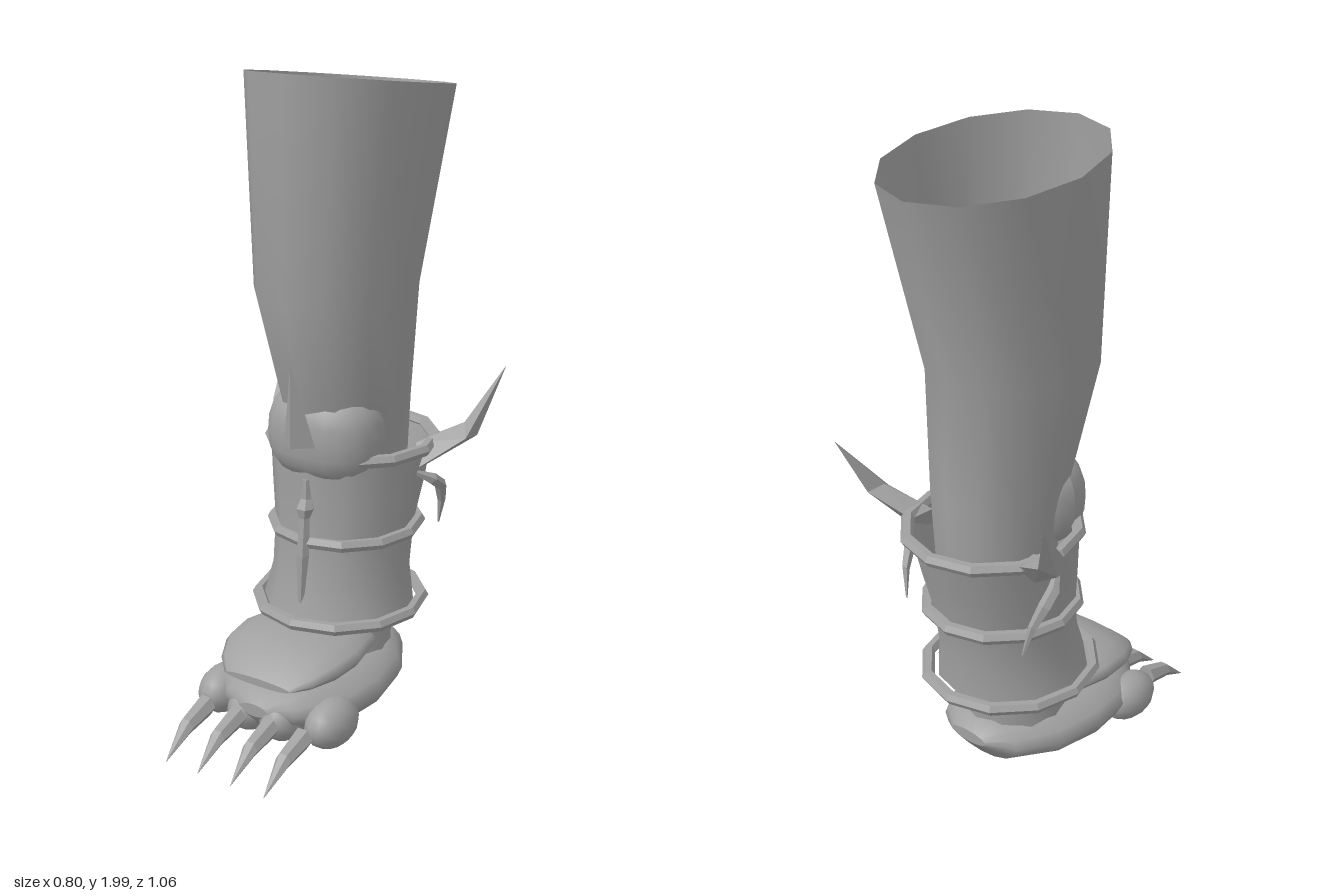
import * as THREE from 'three';

const stone = new THREE.MeshStandardMaterial({ color: 0xa0a0a0, side: THREE.DoubleSide });
stone.name = 'stone grey';

// Skin over elliptical cross-sections [centre, u, v]; u x v points along the path
function loft(sections, sides, { capStart = false, capEnd = false, flat = false } = {}) {
  const pos = [], index = [];
  for (const [c, u, v] of sections) {
    for (let j = 0; j < sides; j++) {
      const a = (j / sides) * Math.PI * 2;
      for (let k = 0; k < 3; k++) pos.push(c[k] + u[k] * Math.cos(a) + v[k] * Math.sin(a));
    }
  }
  for (let i = 0; i < sections.length - 1; i++) {
    for (let j = 0; j < sides; j++) {
      const n = (j + 1) % sides;
      const a = i * sides + j, b = i * sides + n, c = a + sides, d = b + sides;
      index.push(a, b, c, b, d, c);
    }
  }
  const cap = (i, reverse) => {
    const start = pos.length / 3;
    for (let j = 0; j < sides; j++) pos.push(...pos.slice((i * sides + j) * 3, (i * sides + j) * 3 + 3));
    for (let j = 1; j < sides - 1; j++) {
      index.push(start, start + (reverse ? j + 1 : j), start + (reverse ? j : j + 1));
    }
  };
  if (capStart) cap(0, true);
  if (capEnd) cap(sections.length - 1, false);
  let g = new THREE.BufferGeometry();
  g.setAttribute('position', new THREE.Float32BufferAttribute(pos, 3));
  g.setIndex(index);
  if (flat) g = g.toNonIndexed();
  g.computeVertexNormals();
  return g;
}

// Horizontal section from its front and back edges, optionally tilted
const level = (y, rx, front, back, tilt = 0) =>
  [[0, y, (front + back) / 2], [rx, 0, 0], [0, tilt, (front - back) / 2]];
// Upright section across the foot
const across = (z, y, rx, ry, x = 0) => [[x, y, z], [rx, 0, 0], [0, ry, 0]];

export function createModel() {
  const model = new THREE.Group();
  model.name = 'clawedLeg';
  const add = (name, geometry, parent = model) => {
    const mesh = new THREE.Mesh(geometry, stone);
    mesh.name = name;
    parent.add(mesh);
    return mesh;
  };

  // Open upper leg, closed at its lower end inside the cuff
  add('upperLeg', loft([
    level(1.96, 0.295, 0.16, -0.53, 0.04),
    level(1.36, 0.235, 0.16, -0.395, -0.01),
    level(1.0, 0.185, 0.06, -0.41),
    level(0.78, 0.17, 0.0, -0.4),
  ], 12, { capEnd: true }));
  add('ankle', loft([
    level(0.78, 0.165, 0, -0.36),
    level(0.35, 0.17, 0.05, -0.315),
    level(0.18, 0.17, 0.05, -0.305),
  ], 12));

  // Flared cuff and its three bands
  add('cuff', loft([
    level(0.86, 0.25, 0.05, -0.465),
    level(0.72, 0.235, 0.05, -0.43),
    level(0.59, 0.215, 0.055, -0.395),
    level(0.45, 0.213, 0.07, -0.375),
    level(0.33, 0.238, 0.105, -0.375),
  ], 12));
  for (const [y, rx, front, back] of [
    [0.855, 0.275, 0.065, -0.5],
    [0.59, 0.247, 0.075, -0.435],
    [0.342, 0.278, 0.14, -0.435],
  ]) {
    let band = new THREE.TorusGeometry(rx - 0.02, 0.02, 6, 12);
    band.rotateX(Math.PI / 2);
    band.scale(1, 1, (front - back) / 2 / rx);
    band = band.toNonIndexed();
    band.computeVertexNormals();
    add('cuffBand', band).position.set(0, y, (front + back) / 2);
  }

  // Rounded, slightly boxy knee guard
  const guard = new THREE.SphereGeometry(1, 20, 14);
  const p = guard.attributes.position;
  const boxy = (n) => Math.sign(n) * Math.abs(n) ** 0.78;
  for (let i = 0; i < p.count; i++) p.setXY(i, boxy(p.getX(i)), boxy(p.getY(i)));
  guard.scale(0.188, 0.157, 0.14);
  guard.computeVertexNormals();
  add('kneeGuard', guard).position.set(0, 0.913, -0.065);

  // Four-sided knee spike with an upright front edge
  add('kneeSpike', loft([
    [[0, 0.91, 0.08], [0.055, 0, 0], [0, 0, -0.05]],
    [[0, 1.165, 0.129], [0.001, 0, 0], [0, 0, -0.001]],
  ], 4, { capStart: true, flat: true }));

  // Hanging pendant on the shin
  add('shinPendant', loft([
    [0.79, 0.045, 0.012], [0.73, 0.045, 0.018], [0.7, 0.05, 0.03], [0.67, 0.055, 0.018],
    [0.55, 0.065, 0.022], [0.37, 0.078, 0.008],
  ].map(([y, z, r]) => [[0, y, z], [r, 0, 0], [0, 0, r]]), 6,
  { capStart: true, capEnd: true, flat: true }));

  // Side horns with curled tails beneath
  for (const side of [1, -1]) {
    const group = new THREE.Group();
    group.name = side > 0 ? 'leftHorn' : 'rightHorn';
    group.scale.x = side;
    model.add(group);
    add('horn', loft([
      [[0.215, 0.82, -0.28], [0.01, -0.035, 0.07], [-0.015, 0.035, 0.015]],
      [[0.345, 0.905, -0.345], [0.012, -0.015, 0.055], [-0.018, 0.02, 0.008]],
      [[0.4, 1.085, -0.455], [0, 0, 0.001], [-0.001, 0, 0]],
    ], 4, { capStart: true, flat: true }), group);
    add('hornTail', loft([
      [[0.235, 0.785, -0.2], 0.008], [[0.265, 0.755, -0.25], 0.02],
      [[0.27, 0.72, -0.3], 0.02], [[0.255, 0.66, -0.335], 0.014], [[0.235, 0.57, -0.355], 0.003],
    ].map(([c, r]) => [c, [r, 0, 0], [0, r * 0.7, -r * 0.7].map((n) => -n)]), 5,
    { capStart: true, flat: true }), group);
  }

  // Foot and the padded plate over the instep
  add('foot', loft([
    across(-0.345, 0.16, 0.07, 0.02), across(-0.29, 0.145, 0.15, 0.075),
    across(-0.16, 0.135, 0.225, 0.095), across(0.0, 0.128, 0.25, 0.1),
    across(0.12, 0.13, 0.24, 0.097), across(0.22, 0.135, 0.2, 0.085),
    across(0.3, 0.14, 0.13, 0.06), across(0.33, 0.14, 0.05, 0.02),
  ], 16, { capStart: true, capEnd: true }));
  add('instepPlate', loft([
    across(-0.14, 0.25, 0.1, 0.02), across(-0.06, 0.262, 0.19, 0.05),
    across(0.08, 0.262, 0.22, 0.063), across(0.18, 0.255, 0.21, 0.06),
    across(0.26, 0.24, 0.17, 0.04), across(0.31, 0.225, 0.12, 0.012),
  ], 16, { capStart: true, capEnd: true }));

  // Toes, and claws just ahead of them
  for (const [toeX, toeZ, clawX] of [
    [-0.198, 0.205, -0.178], [-0.06, 0.24, -0.06], [0.06, 0.24, 0.06], [0.198, 0.205, 0.178],
  ]) {
    const toe = new THREE.SphereGeometry(1, 14, 10);
    toe.scale(0.072, 0.075, 0.105);
    add('toe', toe).position.set(toeX, 0.105, toeZ);
    add('claw', loft([
      across(0.33, 0.105, 0.034, 0.033, clawX),
      across(0.43, 0.078, 0.026, 0.025, clawX),
      across(0.53, 0.006, 0.001, 0.001, clawX),
    ], 6, { capStart: true, flat: true }));
  }
  return model;
}
